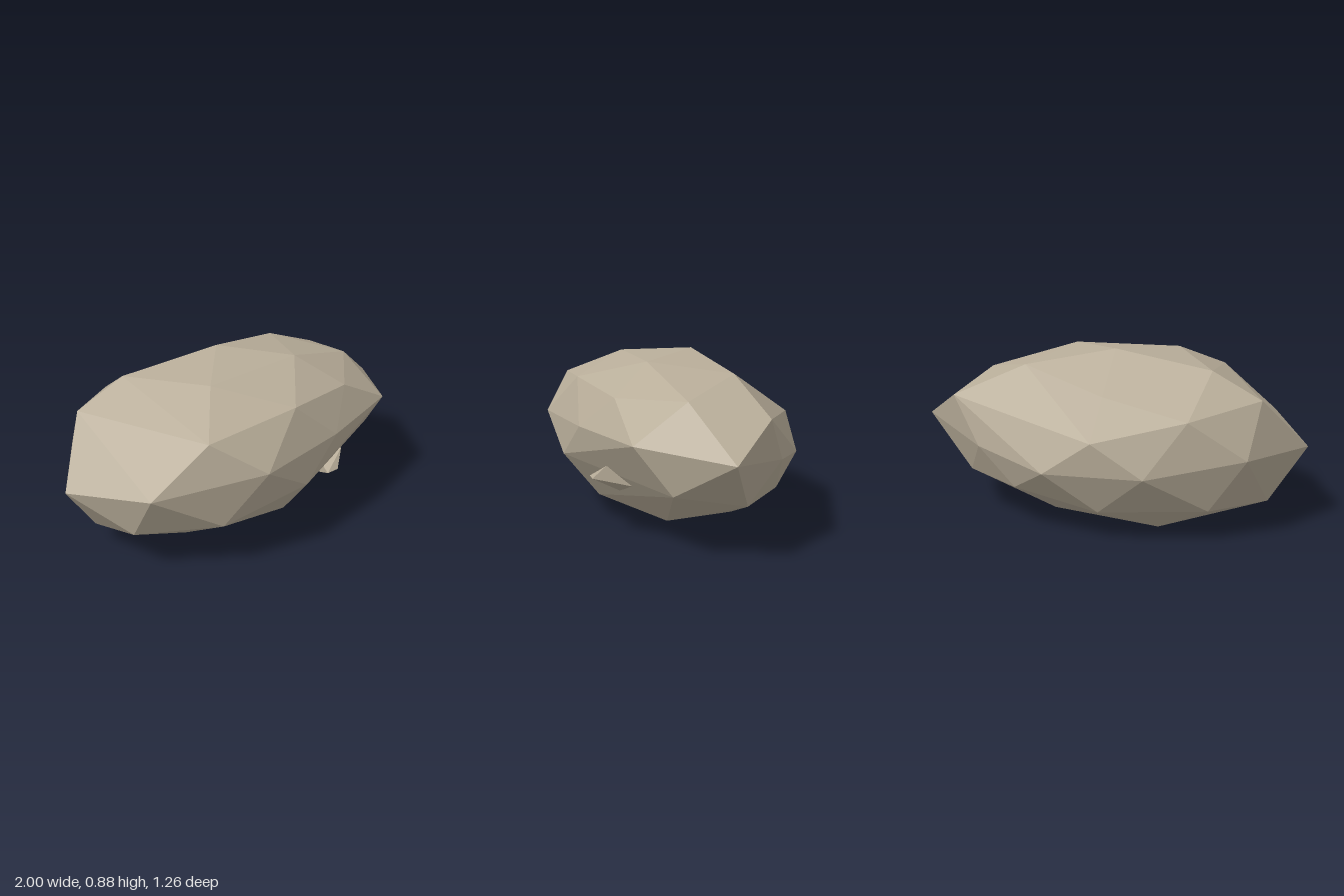
import * as THREE from 'three';
import { ConvexGeometry } from 'three/addons/geometries/ConvexGeometry.js';

// Rings of corner points [x, y, z] from the top of the rock to its underside
const crown = [
  [-0.03, 0.88, -0.11], [0.26, 0.85, 0.17], [-0.29, 0.845, 0.22], [-0.54, 0.81, -0.19],
  [0.41, 0.8, -0.235], [0.02, 0.75, 0.49], [0.7, 0.72, 0.05], [-0.49, 0.71, 0.5],
  [0.445, 0.705, 0.355], [-0.04, 0.695, -0.4], [-0.79, 0.68, -0.21],
];
const girdle = [
  [1, 0.48, -0.11], [0.77, 0.64, -0.325], [0.76, 0.535, 0.315], [0.27, 0.54, 0.51],
  [-0.24, 0.535, 0.63], [-0.78, 0.48, 0.455], [-1, 0.4, 0.03], [-0.75, 0.42, -0.38],
  [-0.48, 0.62, -0.49], [-0.045, 0.525, -0.635], [0.35, 0.58, -0.475], [0.6, 0.41, -0.43],
];
const belly = [
  [0.04, 0.355, 0.57], [0.81, 0.305, 0.14], [-0.43, 0.265, 0.53], [-0.79, 0.23, 0.3],
  [0.725, 0.22, -0.23], [0.4, 0.22, -0.46], [0.2, 0.355, -0.625], [-0.295, 0.36, -0.615],
];
const underside = [
  [0.04, 0.13, 0.39], [0.485, 0.1, 0.11], [0.25, 0.06, -0.265], [-0.05, 0.15, -0.525],
  [-0.57, 0.16, -0.4], [-0.815, 0.12, -0.05], [-0.42, 0.04, 0.18], [0.01, 0.025, 0.03],
  [-0.29, 0, -0.25],
];
// Small splinter on the lower front, with its last point buried in the rock
const splinter = [
  [0.41, 0.368, 0.395], [0.27, 0.29, 0.46], [0.34, 0.29, 0.455], [0.32, 0.217, 0.315],
  [0.5, 0.285, 0.285], [0.34, 0.3, 0.27],
];

// Faceted solid wrapped around a set of points
function facetedSolid(name, points, material) {
  const geometry = new ConvexGeometry(points.map((p) => new THREE.Vector3(...p)));
  const mesh = new THREE.Mesh(geometry, material);
  mesh.name = name;
  return mesh;
}

export function createModel() {
  const stone = new THREE.MeshStandardMaterial({ color: 0xb8ad99, flatShading: true });
  stone.name = 'stone';

  const rock = new THREE.Group();
  rock.name = 'rock';
  rock.add(
    facetedSolid('boulder', [...crown, ...girdle, ...belly, ...underside], stone),
    facetedSolid('splinter', splinter, stone),
  );
  return rock;
}
